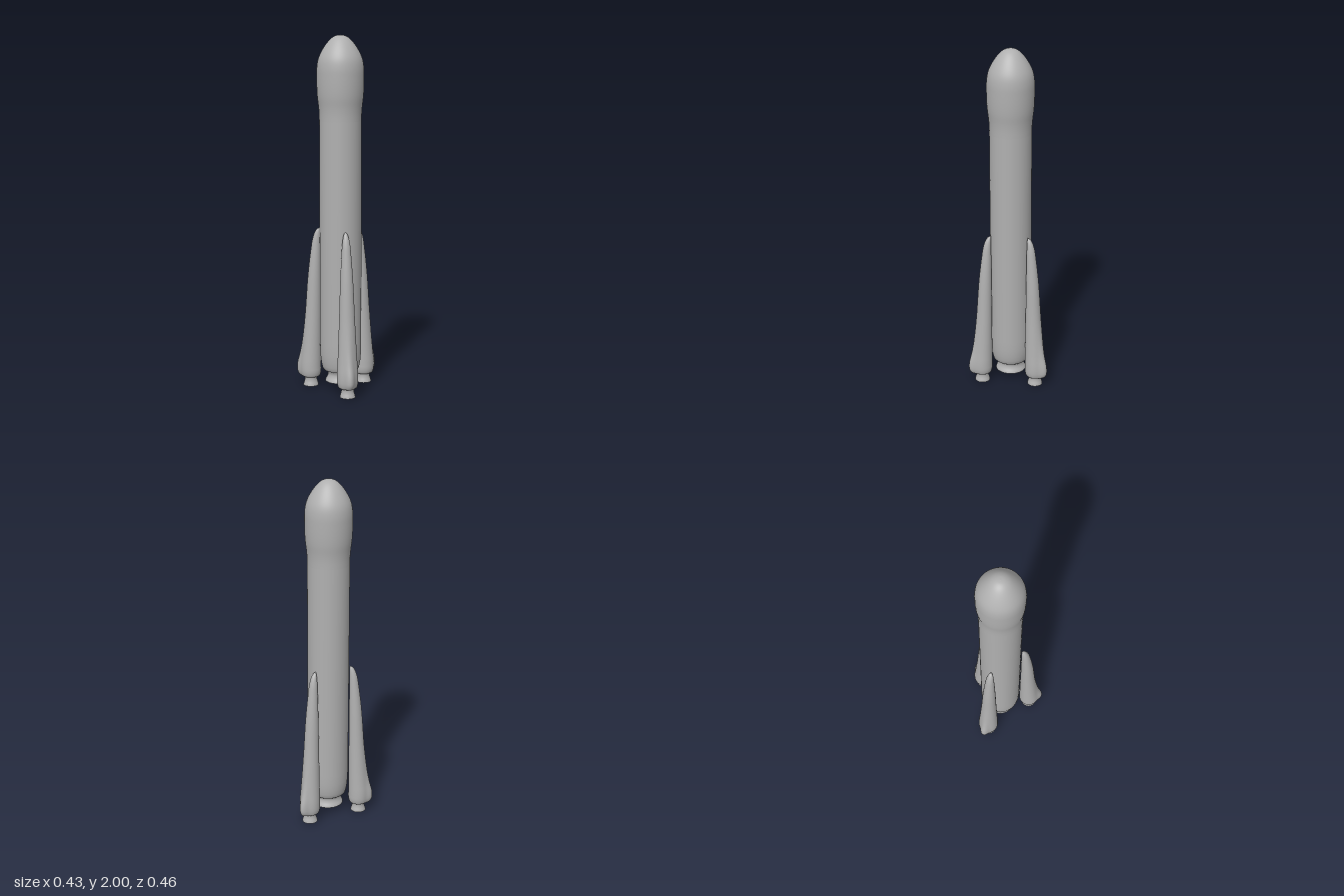
import * as THREE from 'three';

const rad = THREE.MathUtils.degToRad;

// Smooth surface of revolution from [radius, y] points, listed bottom to top
function lathe(name, points, material, smooth = 0) {
  let pts = points.map(([r, y]) => new THREE.Vector2(r, y));
  if (smooth) {
    pts = new THREE.SplineCurve(pts).getPoints(smooth);
    pts.forEach((p) => { p.x = Math.max(p.x, 0); });
  }
  const mesh = new THREE.Mesh(new THREE.LatheGeometry(pts, 64), material);
  mesh.name = name;
  return mesh;
}

// Booster hull: stacked teardrop sections whose point grows outward near the base
function boosterHull() {
  // y, radius, outward point as a share of the radius
  const keys = [
    [0.05, 0.034, 0], [0.054, 0.046, 0.2], [0.065, 0.055, 0.34], [0.09, 0.059, 0.4],
    [0.12, 0.059, 0.38], [0.2, 0.055, 0.2], [0.28, 0.051, 0.09], [0.44, 0.044, 0],
    [0.65, 0.036, 0], [0.8, 0.027, 0], [0.86, 0.022, 0], [0.9, 0.015, 0],
    [0.918, 0.008, 0], [0.925, 0.0005, 0],
  ];
  const curve = new THREE.CatmullRomCurve3(keys.map((k) => new THREE.Vector3(...k)));
  const rows = 78, cols = 72;
  const pos = [], index = [];
  for (let i = 0; i <= rows; i++) {
    const s = curve.getPoint(i / rows);
    const R = Math.max(s.y, 0.0005), k = Math.max(s.z, 0);
    const centre = s.x < 0.1 ? 0.18 : 0.121 + R;
    for (let j = 0; j < cols; j++) {
      const t = (j / cols) * Math.PI * 2;
      const r = R * (1 + k * Math.max(0, Math.cos(t)) ** 14);
      pos.push(centre + r * Math.cos(t), s.x, r * Math.sin(t));
    }
  }
  for (let i = 0; i < rows; i++) {
    for (let j = 0; j < cols; j++) {
      const a = i * cols + j, b = i * cols + (j + 1) % cols;
      index.push(a, a + cols, b, b, a + cols, b + cols);
    }
  }
  const g = new THREE.BufferGeometry();
  g.setAttribute('position', new THREE.Float32BufferAttribute(pos, 3));
  g.setIndex(index);
  g.computeVertexNormals();
  return g;
}

export function createModel() {
  const grey = new THREE.MeshStandardMaterial({ color: 0xb0b0b0, side: THREE.DoubleSide });
  grey.name = 'grey';

  const model = new THREE.Group();
  model.name = 'rocket';
  const rocket = new THREE.Group();
  rocket.name = 'rocketBody';
  rocket.position.set(-0.048, 0, -0.02);
  model.add(rocket);

  // Core stage with rounded lower edge
  rocket.add(lathe('coreStage', [
    [0, 0.108], [0.08, 0.108], [0.096, 0.112], [0.103, 0.12], [0.108, 0.14],
    [0.113, 0.17], [0.116, 0.21], [0.117, 0.27], [0.117, 1.53],
  ], grey));

  // Bulging payload fairing and nose
  rocket.add(lathe('noseFairing', [
    [0.117, 1.53], [0.118, 1.57], [0.121, 1.61], [0.127, 1.66], [0.13, 1.71],
    [0.131, 1.77], [0.13, 1.82], [0.123, 1.865], [0.107, 1.905], [0.081, 1.947],
    [0.052, 1.98], [0.025, 1.996], [0, 2],
  ], grey, 60));

  // Core engine bell, hollow from below
  rocket.add(lathe('coreNozzle', [
    [0.088, 0.045], [0.084, 0.055], [0.076, 0.07], [0.072, 0.085], [0.074, 0.098], [0.08, 0.11],
  ], grey, 20));

  // Three boosters spaced evenly around the core
  const hull = boosterHull();
  for (let i = 0; i < 3; i++) {
    const booster = new THREE.Group();
    booster.name = 'booster' + (i + 1);
    booster.rotation.y = rad(8.5 + i * 120);
    const body = new THREE.Mesh(hull, grey);
    body.name = 'boosterHull';
    booster.add(body);

    const nozzle = lathe('boosterNozzle', [
      [0.044, 0], [0.041, 0.012], [0.037, 0.025], [0.035, 0.038], [0.036, 0.05], [0.04, 0.058],
    ], grey, 20);
    nozzle.position.x = 0.18;
    booster.add(nozzle);

    // Closes the hull above the nozzle
    const cap = new THREE.Mesh(new THREE.CircleGeometry(0.036, 48), grey);
    cap.name = 'nozzleCap';
    cap.rotation.x = Math.PI / 2;
    cap.position.set(0.18, 0.05, 0);
    booster.add(cap);
    rocket.add(booster);
  }
  return model;
}
